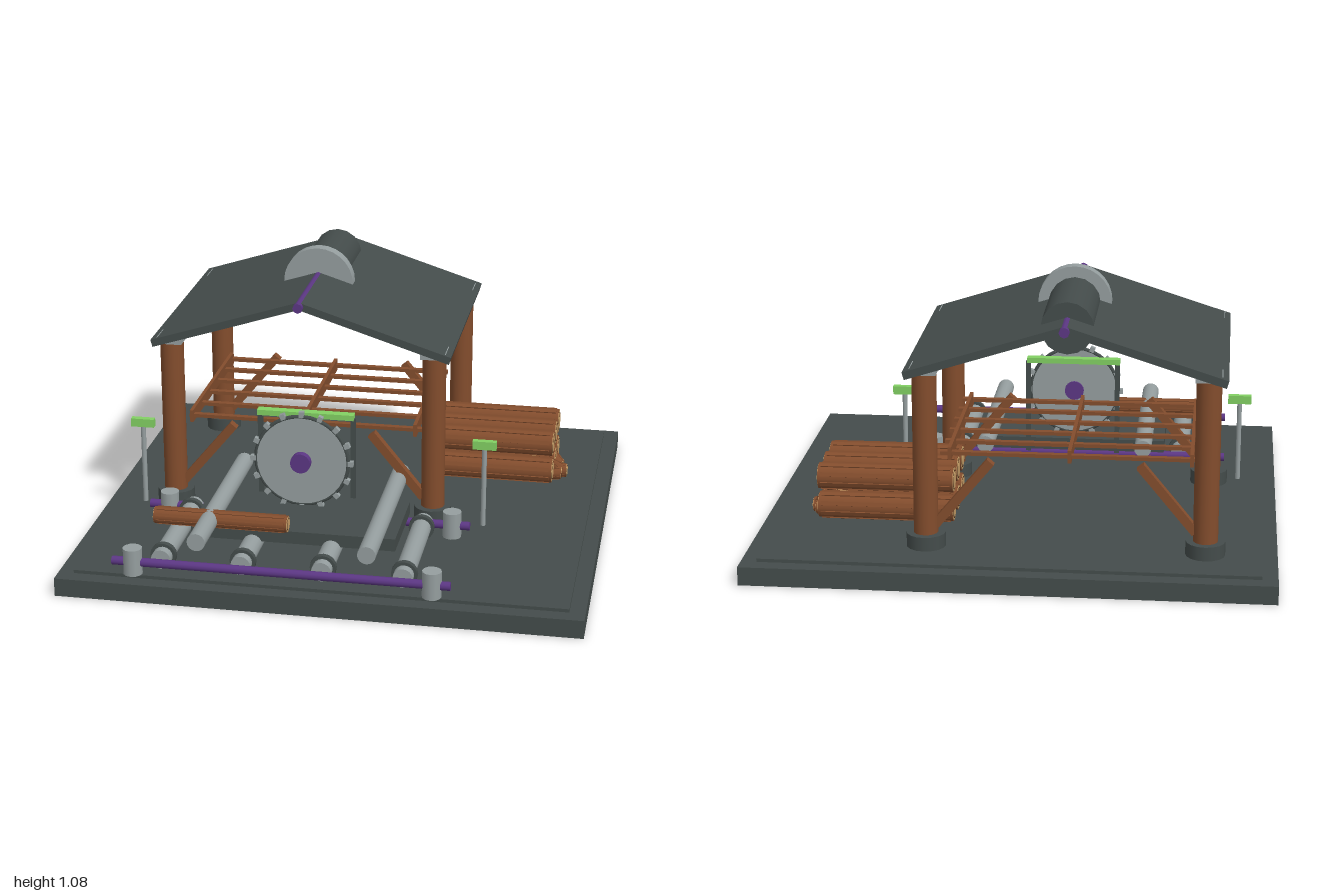
import * as THREE from 'three';

const mat = (name, color) => Object.assign(new THREE.MeshStandardMaterial({ color }), { name });

export function createModel() {
  const root = new THREE.Group();
  root.name = 'sawmill';
  const slate = mat('dark slate', 0x444c4b);
  const steel = mat('pale steel', 0x959e9f);
  const wood = mat('brown wood', 0x834d2d);
  const bark = mat('dark bark', 0x5a3820);
  const cut = mat('cut wood', 0xc79f68);
  const purple = mat('purple', 0x5c3784);
  const green = mat('green', 0x82d063);

  const add = (name, geo, material, x, y, z, parent = root) => {
    const m = new THREE.Mesh(geo, material);
    m.name = name;
    m.position.set(x, y, z);
    parent.add(m);
    return m;
  };
  const box = (name, m, x, y, z, w, h, d, parent) =>
    add(name, new THREE.BoxGeometry(w, h, d), m, x, y, z, parent);
  // Cylinder along the given axis, centred at x, y, z
  const cyl = (name, m, axis, x, y, z, r, len, sides = 16, parent = root) => {
    const g = new THREE.CylinderGeometry(r, r, len, sides);
    if (axis === 'x') g.rotateZ(-Math.PI / 2);
    if (axis === 'z') g.rotateX(Math.PI / 2);
    return add(name, g, m, x, y, z, parent);
  };
  // Log along x with bark ridges and ringed cut ends
  const log = (name, x, y, z, r, len) => {
    const g = new THREE.Group();
    g.name = name;
    g.position.set(x, y, z);
    root.add(g);
    cyl('trunk', wood, 'x', 0, 0, 0, r * 0.95, len, 14, g);
    for (let i = 0; i < 8; i++) {
      const a = (i + 0.5) * Math.PI / 4;
      const s = box('barkRidge', wood, 0, Math.cos(a) * r * 0.94, Math.sin(a) * r * 0.94,
        len * 0.96, r * 0.12, r * 0.3, g);
      s.rotation.x = a;
    }
    for (const e of [-1, 1]) {
      cyl('cutEnd', cut, 'x', e * len / 2, 0, 0, r * 0.86, 0.004, 14, g);
      cyl('growthRing', bark, 'x', e * (len / 2 + 0.001), 0, 0, r * 0.72, 0.004, 14, g);
      cyl('heartwood', cut, 'x', e * (len / 2 + 0.002), 0, 0, r * 0.62, 0.004, 14, g);
    }
    return g;
  };

  // Stepped base
  box('base', slate, 0, 0.036, 0, 2, 0.072, 1.88);
  box('floor', slate, 0, 0.078, 0, 1.88, 0.014, 1.76);

  // Posts with footings, caps and diagonal braces
  const cx = -0.2;
  for (const s of [-1, 1]) for (const z of [0.15, -0.675]) {
    const x = cx + s * 0.528;
    cyl('post', wood, 'y', x, 0.43, z, 0.047, 0.69);
    cyl('footing', slate, 'y', x, 0.112, z, 0.075, 0.055);
    box('postCap', steel, x, 0.782, z, 0.1, 0.026, 0.1);
    const b = box('brace', wood, cx + s * 0.385, 0.3, z, 0.034, 0.33, 0.034);
    b.rotation.z = s * 0.69;
  }

  // Gabled roof
  const gable = new THREE.Shape([
    [-0.6, 0.787], [-0.592, 0.758], [0, 0.946], [0.592, 0.758], [0.6, 0.787], [0, 0.977],
  ].map(p => new THREE.Vector2(...p)));
  add('roof', new THREE.ExtrudeGeometry(gable, { depth: 0.96, bevelEnabled: false }), slate, cx, 0, -0.75);
  cyl('ridgePole', purple, 'z', cx, 0.958, -0.27, 0.02, 1.0, 8);

  // Horizontal drum through the roof
  cyl('drum', slate, 'z', cx, 0.935, -0.42, 0.1, 0.4, 16);
  cyl('drumFlange', steel, 'z', cx, 0.935, -0.215, 0.142, 0.05, 28);

  // Lattice drying rack between the posts
  for (const x of [-0.67, -0.21, 0.245]) box('rackRail', wood, x, 0.43, -0.255, 0.014, 0.05, 0.71);
  for (let i = 0; i < 6; i++) box('rackSlat', wood, cx, 0.43, 0.08 - i * 0.135, 0.96, 0.014, 0.024);

  // Stacked logs and firewood
  for (const z of [-0.225, -0.355, -0.485]) for (const y of [0.165, 0.283])
    log('stackedLog', 0.508, y, z, 0.054, 0.525);
  for (const [x, y, z, yaw, tilt] of [
    [0.66, 0.12, -0.30, 0.1, 0], [0.68, 0.115, -0.355, 0, 0], [0.66, 0.12, -0.41, -0.1, 0],
    [0.74, 0.17, -0.3, 0.7, 0.6], [0.74, 0.17, -0.41, -0.7, 0.6],
  ]) {
    const f = log('firewood', x, y, z, 0.03, tilt ? 0.15 : 0.28);
    f.rotation.set(0, yaw, -tilt);
  }

  // Saw blade
  const saw = new THREE.Group();
  saw.name = 'sawBlade';
  saw.position.set(-0.155, 0.39, 0.385);
  root.add(saw);
  cyl('disc', steel, 'z', 0, 0, 0, 0.178, 0.018, 32, saw);
  add('rim', new THREE.TorusGeometry(0.182, 0.009, 8, 32), slate, 0, 0, 0, saw);
  for (let i = 0; i < 16; i++) {
    const a = (i * Math.PI) / 8;
    const t = box('tooth', steel, Math.cos(a) * 0.193, Math.sin(a) * 0.193, 0, 0.022, 0.02, 0.022, saw);
    t.rotation.z = a;
  }
  cyl('hub', purple, 'z', 0, 0, 0.01, 0.04, 0.055, 16, saw);

  // Guard frame behind the blade
  for (const x of [-0.34, 0.03]) box('guardPost', slate, x, 0.345, 0.287, 0.02, 0.39, 0.016);
  box('guardBar', green, -0.158, 0.547, 0.287, 0.385, 0.022, 0.036);

  // Saw table
  box('table', slate, -0.14, 0.18, 0.47, 0.795, 0.05, 0.36);

  // Conveyor: side rods, corner studs, rollers with bands, long rails
  for (const z of [0.32, 0.866]) {
    cyl('sideRod', purple, 'x', -0.145, 0.133, z, 0.017, 1.29, 10);
    for (const x of [-0.71, 0.43]) cyl('cornerStud', steel, 'y', x, 0.138, z, 0.037, 0.105, 12);
  }
  for (let i = 0; i < 4; i++) {
    const x = -0.605 + i * 0.308;
    cyl('roller', steel, 'z', x, 0.143, 0.593, 0.038, 0.52);
    for (const z of [0.383, 0.807]) cyl('rollerBand', slate, 'z', x, 0.143, z, 0.05, 0.022);
  }
  for (const x of [-0.458, 0.188]) cyl('carriageRail', steel, 'z', x, 0.24, 0.48, 0.035, 0.81);
  log('workLog', -0.415, 0.24, 0.66, 0.035, 0.52);

  // Marker signs
  for (const x of [-0.847, 0.537]) {
    cyl('signPole', steel, 'y', x, 0.25, 0.193, 0.01, 0.33, 10);
    box('signPlate', green, x, 0.428, 0.193, 0.094, 0.034, 0.026);
  }
  return root;
}
